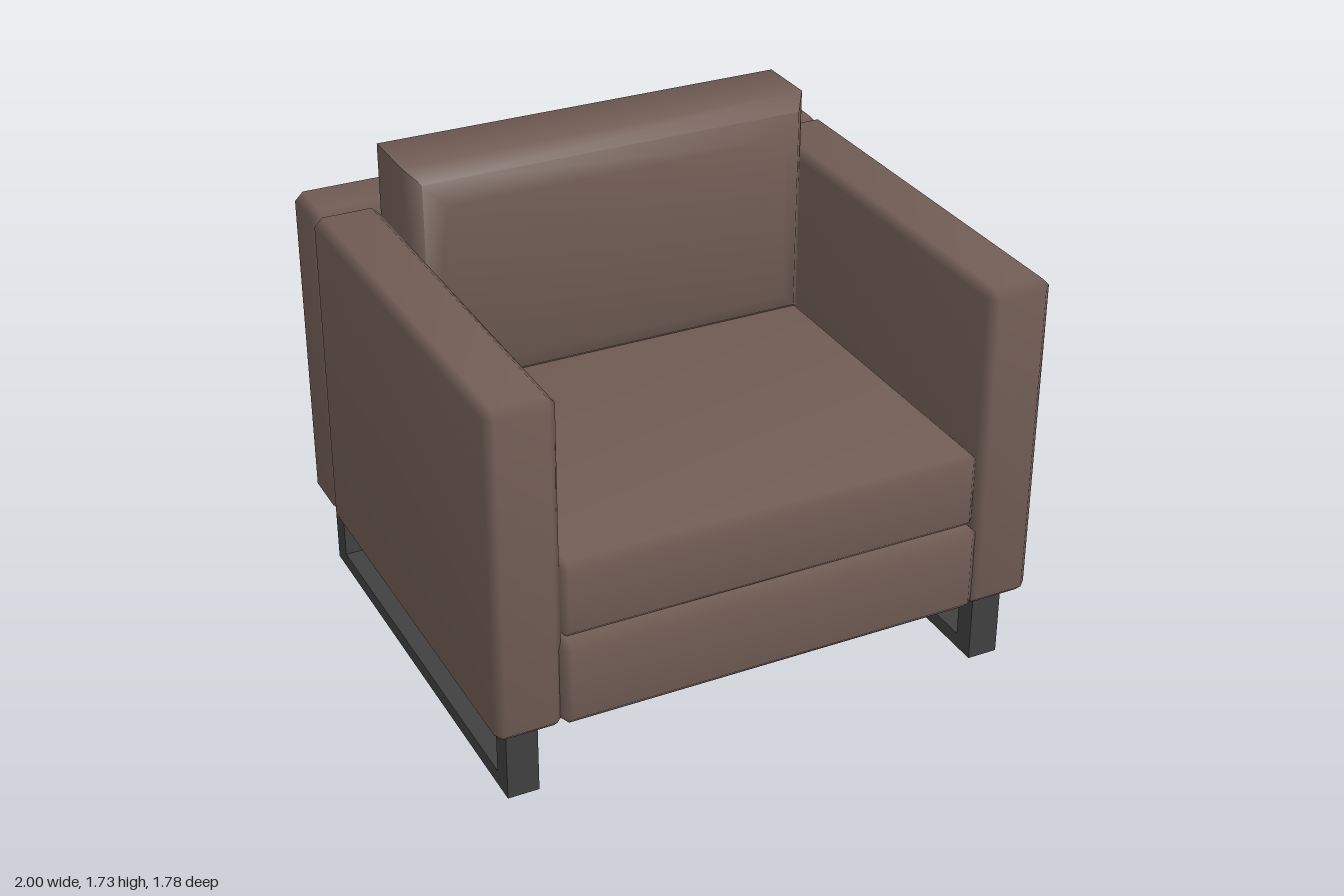
import * as THREE from 'three';
import { toCreasedNormals } from 'three/addons/utils/BufferGeometryUtils.js';
import { ConvexGeometry } from 'three/addons/geometries/ConvexGeometry.js';

const SIGNS = [-1, 1];

// Box with one soft chamfer on every edge; normals lean gently outwards for a padded look.
function paddedBox([x0, x1], [y0, y1], [z0, z1], bevel = 0.03) {
  const half = [(x1 - x0) / 2, (y1 - y0) / 2, (z1 - z0) / 2];
  const points = [];
  for (const sx of SIGNS) for (const sy of SIGNS) for (const sz of SIGNS) {
    for (let axis = 0; axis < 3; axis++) {
      const p = [sx, sy, sz].map((s, i) => s * (half[i] - (i === axis ? 0 : bevel)));
      points.push(new THREE.Vector3(...p));
    }
  }
  const geometry = new ConvexGeometry(points);
  const pos = geometry.attributes.position;
  const normal = geometry.attributes.normal;
  for (let i = 0; i < pos.count; i++) {
    const p = [pos.getX(i), pos.getY(i), pos.getZ(i)];
    const n = new THREE.Vector3(...p.map((v, a) =>
      Math.sign(v) * (half[a] - Math.abs(v) < bevel / 2 ? 1 : 0.15))).normalize();
    normal.setXYZ(i, n.x, n.y, n.z);
  }
  return geometry.translate((x0 + x1) / 2, (y0 + y1) / 2, (z0 + z1) / 2);
}

// Back cushion: rectangles stacked along z, with a deep rounded front.
function cushionGeometry() {
  const sections = [[-0.645, 0.03], [-0.617, 0], [-0.39, 0], [-0.324, 0.047], [-0.28, 0.12]];
  const halfWidth = 0.762, bottom = 0.87, top = 1.73;
  const points = [];
  for (const [z, inset] of sections) {
    for (const s of SIGNS) {
      points.push(new THREE.Vector3(s * (halfWidth - inset), bottom + inset, z));
      points.push(new THREE.Vector3(s * (halfWidth - inset), top - inset, z));
    }
  }
  return toCreasedNormals(new ConvexGeometry(points), 1.1);
}

// Flat-bar sled leg: a U outline in the z-y plane, extruded across x.
function sledGeometry() {
  const front = 0.797, back = -0.816, post = 0.083, bar = 0.055, top = 0.3;
  const outline = new THREE.Shape([
    [-front, 0], [-back, 0], [-back, top], [-back - post, top],
    [-back - post, bar], [-front + post, bar], [-front + post, top], [-front, top],
  ].map(([x, y]) => new THREE.Vector2(x, y)));
  return new THREE.ExtrudeGeometry(outline, { depth: 0.112, bevelEnabled: false })
    .translate(0, 0, -0.056)
    .rotateY(Math.PI / 2);
}

export function createModel() {
  const model = new THREE.Group();
  model.name = 'armchair';

  const upholstery = new THREE.MeshStandardMaterial({ color: 0x705c54 });
  upholstery.name = 'brown upholstery';
  const metal = new THREE.MeshStandardMaterial({ color: 0x404040 });
  metal.name = 'dark metal';

  const add = (name, geometry, material) => {
    const mesh = new THREE.Mesh(geometry, material);
    mesh.name = name;
    model.add(mesh);
    return mesh;
  };

  // Body
  add('seatBase', paddedBox([-0.778, 0.778], [0.28, 0.612], [-0.7, 0.89], 0.035), upholstery);
  add('seatCushion', paddedBox([-0.765, 0.765], [0.608, 0.89], [-0.657, 0.868], 0.025), upholstery);
  add('backrest', paddedBox([-0.99, 0.99], [0.28, 1.492], [-0.89, -0.657]), upholstery);
  add('backCushion', cushionGeometry(), upholstery);

  // Arms and legs on both sides
  for (const [side, s] of [['left', 1], ['right', -1]]) {
    const span = s > 0 ? [0.762, 1] : [-1, -0.762];
    add(side + 'Arm', paddedBox(span, [0.28, 1.492], [-0.657, 0.875]), upholstery);
    add(side + 'SledLeg', sledGeometry(), metal).position.x = s * 0.885;
  }
  return model;
}
